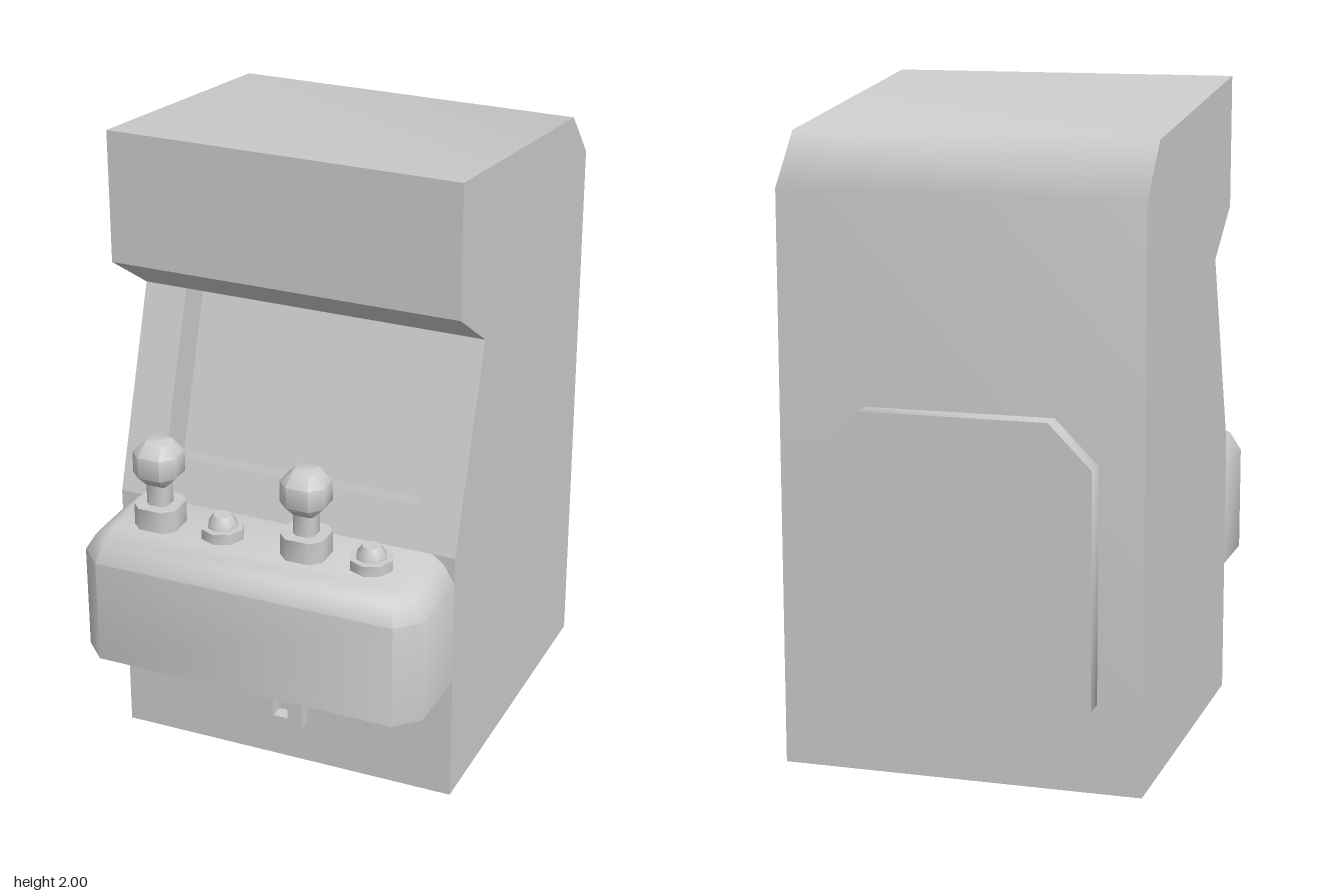
import * as THREE from 'three';
import { toCreasedNormals } from 'three/addons/utils/BufferGeometryUtils.js';

const HALF_W = 0.55, OPEN_W = 0.415;

const grey = new THREE.MeshStandardMaterial({ color: 0xcccccc });
grey.name = 'cabinet grey';

function add(parent, name, geometry) {
  const mesh = new THREE.Mesh(geometry, grey);
  mesh.name = name;
  parent.add(mesh);
}

function fromTriangles(positions, index) {
  const g = new THREE.BufferGeometry();
  g.setAttribute('position', new THREE.Float32BufferAttribute(positions, 3));
  g.setIndex(index);
  g.computeVertexNormals();
  return g;
}

// Surface swept across the width along [z, y] points; smooth along the run
function skin(points, halfWidth) {
  const pos = [], idx = [];
  points.forEach(([z, y], i) => {
    pos.push(-halfWidth, y, z, halfWidth, y, z);
    if (i) {
      const a = 2 * (i - 1);
      idx.push(a, a + 2, a + 3, a, a + 3, a + 1);
    }
  });
  return fromTriangles(pos, idx);
}

// Capped solid through stacked rings of [x, y, z], lowest ring first
function loft(rings) {
  const n = rings[0].length, idx = [], top = (rings.length - 1) * n;
  for (let r = 0; r < rings.length - 1; r++) {
    for (let i = 0; i < n; i++) {
      const a = r * n + i, b = r * n + (i + 1) % n;
      idx.push(a, b, b + n, a, b + n, a + n);
    }
  }
  for (let i = 1; i < n - 1; i++) {
    idx.push(top, top + i, top + i + 1, 0, i + 1, i);
  }
  return toCreasedNormals(fromTriangles(rings.flat(2), idx), 0.85);
}

// Square ring with cut corners
function cutSquare(y, h, c) {
  const k = h - c;
  return [[-k, h], [k, h], [h, k], [h, -k], [k, -h], [-k, -h], [-h, -k], [-h, k]]
    .map(([x, z]) => [x, y, z]);
}

const shapeOf = (pts) => new THREE.Shape(pts.map(([x, y]) => new THREE.Vector2(x, y)));

function buildCabinet() {
  const cabinet = new THREE.Group();
  cabinet.name = 'cabinet';
  // Side outline as [z, y]
  const outline = [[0.43, 2], [0.43, 1.59], [0.22, 1.447], [0.43, 0.83], [0.43, 0],
    [-0.67, 0], [-0.67, 1.73], [-0.53, 1.885]];
  const run = (a, b) => skin(outline.slice(a, b + 1), HALF_W);
  add(cabinet, 'marqueeFront', run(0, 1));
  add(cabinet, 'marqueeUnderside', run(1, 2));
  add(cabinet, 'lowerFront', run(3, 4));
  add(cabinet, 'bottom', run(4, 5));
  add(cabinet, 'backAndTop', skin([...outline.slice(5), outline[0]], HALF_W));

  for (const s of [1, -1]) {
    const side = new THREE.ShapeGeometry(shapeOf(outline.map(([z, y]) => [-s * z, y])));
    side.rotateY(s * Math.PI / 2).translate(s * HALF_W, 0, 0);
    add(cabinet, s > 0 ? 'leftSide' : 'rightSide', side);
  }

  // Sloped screen surround with a sunken screen, built upright then tilted
  const screen = new THREE.Group();
  screen.name = 'screenArea';
  screen.position.set(0, 0.83, 0.43);
  screen.rotation.x = -Math.atan2(0.21, 0.617);
  const len = Math.hypot(0.21, 0.617), sill = 0.137, depth = 0.125;
  add(screen, 'screenSurround', new THREE.ShapeGeometry(shapeOf([
    [-HALF_W, 0], [HALF_W, 0], [HALF_W, len], [OPEN_W, len],
    [OPEN_W, sill], [-OPEN_W, sill], [-OPEN_W, len], [-HALF_W, len]])));
  // Ceiling, screen and sill, each with its own sharp normals
  add(screen, 'screenCeiling', skin([[0, len], [-depth, len]], OPEN_W));
  add(screen, 'screen', skin([[-depth, len], [-depth, sill]], OPEN_W));
  add(screen, 'screenSill', skin([[-depth, sill], [0, sill]], OPEN_W));
  for (const s of [1, -1]) {
    const wall = new THREE.PlaneGeometry(depth, len - sill);
    wall.rotateY(-s * Math.PI / 2).translate(s * OPEN_W, (len + sill) / 2, -depth / 2);
    add(screen, s > 0 ? 'screenLeftWall' : 'screenRightWall', wall);
  }
  cabinet.add(screen);
  return cabinet;
}

function buildJoystick(x) {
  const stick = new THREE.Group();
  stick.name = 'joystick';
  stick.position.set(x, 0.83, 0.567);
  add(stick, 'joystickBase', loft([cutSquare(0, 0.068, 0.03), cutSquare(0.07, 0.068, 0.03)]));
  add(stick, 'joystickShaft', loft([cutSquare(0.07, 0.034, 0.014), cutSquare(0.15, 0.034, 0.014)]));
  add(stick, 'joystickKnob', loft([
    cutSquare(0.137, 0.034, 0.008), cutSquare(0.173, 0.069, 0.034),
    cutSquare(0.24, 0.069, 0.034), cutSquare(0.276, 0.034, 0.008)]));
  return stick;
}

function buildButton(x) {
  const button = new THREE.Group();
  button.name = 'button';
  button.position.set(x, 0.83, 0.567);
  const ring = (y, r) => Array.from({ length: 8 }, (_, i) => {
    const a = i * Math.PI / 4;
    return [r * Math.sin(a), y, r * Math.cos(a)];
  });
  add(button, 'buttonCollar', loft([ring(0, 0.067), ring(0.033, 0.067)]));
  add(button, 'buttonCap', loft([ring(0.033, 0.047), ring(0.045, 0.045), ring(0.07, 0.028)]));
  return button;
}

export function createModel() {
  const model = new THREE.Group();
  model.name = 'arcadeCabinet';
  model.add(buildCabinet());

  // Control panel: bevelled on the front, sides and corners
  const panelRing = ([y, w, front, c]) => [
    [-w + c, y, front], [w - c, y, front], [w, y, front - c],
    [w, y, 0.43], [-w, y, 0.43], [-w, y, front - c]];
  add(model, 'controlPanel', loft([
    [0.415, 0.55, 0.74, 0.07], [0.745, 0.55, 0.74, 0.07],
    [0.803, 0.515, 0.712, 0.05], [0.83, 0.48, 0.65, 0.02]].map(panelRing)));

  // Two sets of stick and button
  for (const x of [-0.345, 0.135]) {
    model.add(buildJoystick(x), buildButton(x + 0.207));
  }

  // Coin plate with a slot
  const rect = (w, y0, y1) => [[-w, y0], [w, y0], [w, y1], [-w, y1]];
  const plate = shapeOf(rect(0.072, 0.14, 0.31));
  plate.holes.push(shapeOf(rect(0.024, 0.17, 0.28)));
  add(model, 'coinPlate', new THREE.ExtrudeGeometry(plate, { depth: 0.045, bevelEnabled: false })
    .translate(0, 0, 0.43));

  // Rear service door with cut corners
  const w = OPEN_W, c = 0.13, lo = 0.14, hi = 1.105;
  const door = new THREE.ExtrudeGeometry(shapeOf([
    [-w + c, lo], [w - c, lo], [w, lo + c], [w, hi - c],
    [w - c, hi], [-w + c, hi], [-w, hi - c], [-w, lo + c]]), { depth: 0.07, bevelEnabled: false });
  add(model, 'backDoor', toCreasedNormals(door, 0.85).translate(0, 0, -0.74));

  return model;
}
